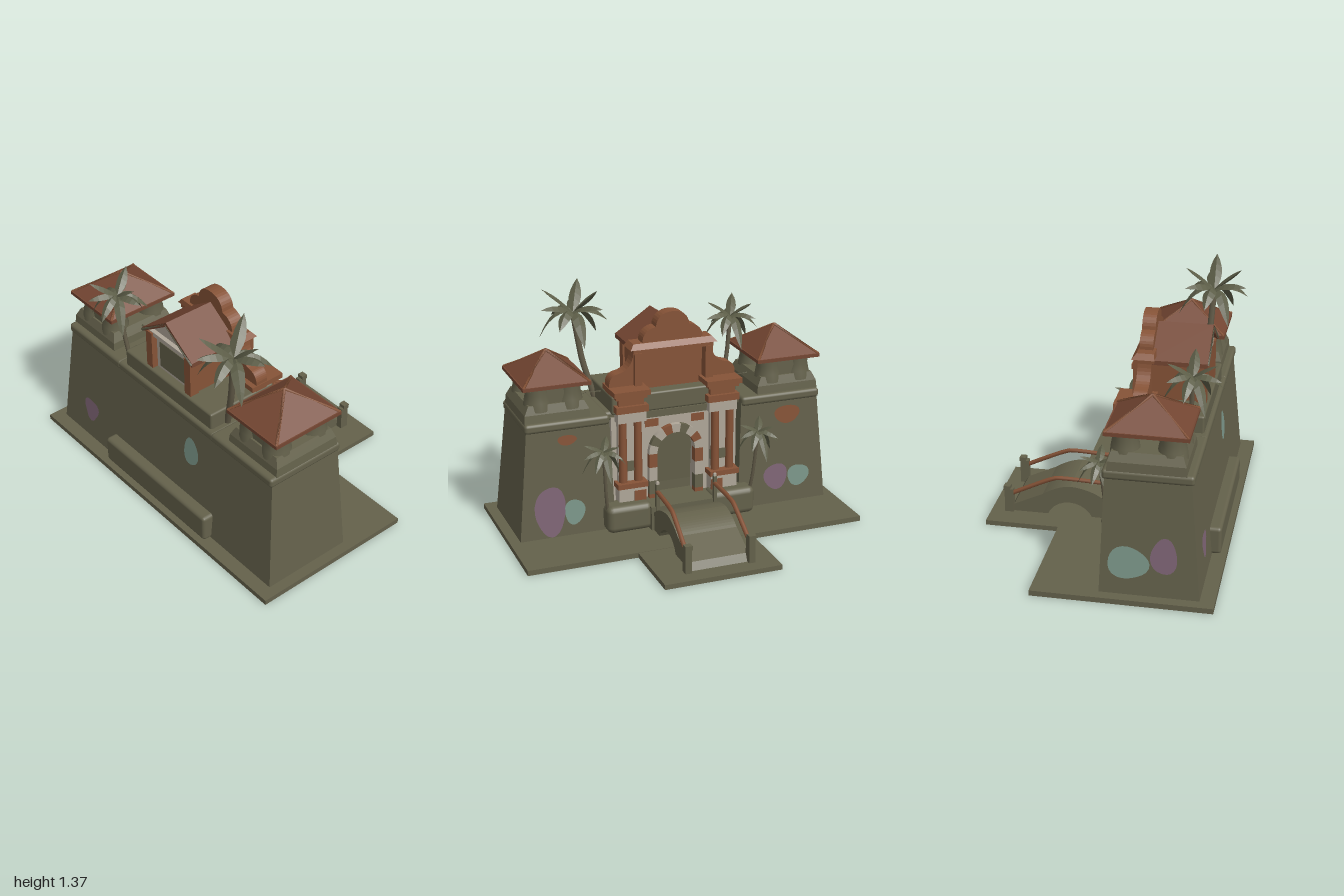
import * as THREE from 'three';
import { RoundedBoxGeometry } from 'three/addons/geometries/RoundedBoxGeometry.js';

const mat = (name, color, side = THREE.FrontSide) => {
  const m = new THREE.MeshStandardMaterial({ color, side });
  m.name = name;
  return m;
};

export function createModel() {
  const root = new THREE.Group();
  root.name = 'gatehouse';
  const stone = mat('olive stone', 0x64614b);
  const clay = mat('terracotta', 0x865337, THREE.DoubleSide);
  const tile = mat('roof tile', 0x744632);
  const plaster = mat('pale plaster', 0xb0a799);
  const violet = mat('violet paint', 0x7f6576, THREE.DoubleSide);
  const teal = mat('teal paint', 0x7c978a, THREE.DoubleSide);
  const leafMat = mat('palm leaf', 0x5d5e48, THREE.DoubleSide);
  const trunkMat = mat('palm trunk', 0x625b48);

  const add = (name, geo, m) => {
    const mesh = new THREE.Mesh(geo, m);
    mesh.name = name;
    root.add(mesh);
    return mesh;
  };
  const box = (name, m, x0, x1, y0, y1, z0, z1, r = 0) => {
    const s = [x1 - x0, y1 - y0, z1 - z0];
    const g = r ? new RoundedBoxGeometry(...s, 2, r) : new THREE.BoxGeometry(...s);
    g.translate((x0 + x1) / 2, (y0 + y1) / 2, (z0 + z1) / 2);
    return add(name, g, m);
  };
  // Box whose bottom and top are different rectangles [x0, x1, z0, z1]
  const frustum = (name, m, y0, y1, bottom, top) => {
    const g = new THREE.BoxGeometry(1, 1, 1), p = g.attributes.position;
    for (let i = 0; i < p.count; i++) {
      const up = p.getY(i) > 0, q = up ? top : bottom;
      p.setXYZ(i, p.getX(i) > 0 ? q[1] : q[0], up ? y1 : y0, p.getZ(i) > 0 ? q[3] : q[2]);
    }
    g.computeVertexNormals();
    return add(name, g, m);
  };
  const tube = (name, m, pts, r, segs = 10, sides = 6) => add(name, new THREE.TubeGeometry(
    new THREE.CatmullRomCurve3(pts.map(p => new THREE.Vector3(...p)), false, 'catmullrom', 0.2), segs, r, sides), m);
  const both = fn => [-1, 1].forEach(fn);
  const span = (s, a, b) => (s > 0 ? [a, b] : [-b, -a]);

  // Ground slabs, hollowed underneath, with rims and footings below
  const frame = (name, x0, x1, z0, z1, y0, w) => {
    for (const [a, b] of [[x0, x0 + w], [x1 - w, x1]]) box(name, stone, a, b, y0, 0.018, z0, z1);
    for (const [a, b] of [[z0, z0 + w], [z1 - w, z1]]) box(name, stone, x0 + w, x1 - w, y0, 0.018, a, b);
  };
  box('ground', stone, -1, 1, 0.015, 0.03, -0.29, 0.68);
  frame('groundRim', -1, 1, -0.29, 0.68, 0, 0.006);
  box('bridgeGround', stone, -0.31, 0.37, 0.013, 0.028, -0.71, -0.28);
  frame('bridgeGroundRim', -0.31, 0.37, -0.71, -0.29, 0, 0.006);
  both(s => frame('towerFooting', ...span(s, 0.42, 0.94), 0.05, 0.61, 0.008, 0.012));

  // Battered walls and rounded ledges
  both(s => {
    frustum('towerWall', stone, 0.03, 0.68, [...span(s, 0.38, 0.94), 0.07, 0.6], [...span(s, 0.4, 0.88), 0.09, 0.54]);
    box('towerLedge', stone, ...span(s, 0.4, 0.89), 0.66, 0.715, 0.075, 0.555, 0.018);
  });
  frustum('frontWall', stone, 0.03, 0.68, [-0.38, 0.38, 0.2, 0.6], [-0.4, 0.4, 0.15, 0.54]);
  box('frontLedge', stone, -0.42, 0.42, 0.66, 0.714, 0.13, 0.554, 0.018);
  box('frontPlanter', stone, -0.45, 0.45, 0.03, 0.19, 0.56, 0.65, 0.02);
  both(s => box('backPlanter', stone, ...span(s, 0.18, 0.45), 0.03, 0.19, -0.02, 0.12, 0.035));
  box('landing', stone, -0.2, 0.2, 0.03, 0.17, -0.04, 0.2);
  box('housePlinth', stone, -0.37, 0.38, 0.7, 0.81, 0.1, 0.53, 0.012);

  // Watch rooms with open sides and hipped roofs
  both(s => {
    const cx = s * 0.695, cz = 0.305;
    frustum('watchBase', stone, 0.71, 0.76, [cx - 0.19, cx + 0.19, 0.1, 0.515], [cx - 0.185, cx + 0.185, 0.105, 0.51]);
    frustum('watchParapet', stone, 0.76, 0.81, [cx - 0.185, cx + 0.185, 0.105, 0.51], [cx - 0.16, cx + 0.16, 0.12, 0.49]);
    for (const dx of [-0.09, 0.09]) for (const dz of [-0.122, 0.122]) {
      const profile = [[0.082, 0.77], [0.076, 0.82], [0.068, 0.86], [0.072, 0.92]];
      const post = add('watchPost', new THREE.LatheGeometry(profile.map(p => new THREE.Vector2(...p)), 14), stone);
      post.position.set(cx + dx, 0, cz + dz);
    }
    both(d => box('watchWall', stone, cx - 0.1, cx + 0.1, 0.78, 0.92, cz + d * 0.145 - 0.03, cz + d * 0.145 + 0.03));
    box('watchLintel', stone, cx - 0.155, cx + 0.155, 0.89, 0.92, 0.125, 0.485);
    box('roofEave', tile, cx - 0.195, cx + 0.195, 0.905, 0.925, 0.085, 0.525);
    const cone = new THREE.ConeGeometry(Math.SQRT1_2, 0.145, 4, 1).toNonIndexed();
    cone.rotateY(Math.PI / 4).scale(0.39, 1, 0.44).computeVertexNormals();
    add('hippedRoof', cone, tile).position.set(cx, 0.9925, cz);
    both(a => both(b => tube('roofHip', clay, [[cx + a * 0.19, 0.923, cz + b * 0.215], [cx, 1.065, cz]], 0.009, 1, 5)));
    tube('parapetRail', stone, [[s * 0.36, 0.785, 0.3], [s * 0.54, 0.785, 0.3]], 0.006, 1);
  });

  // Arched portal
  const portal = new THREE.Shape();
  portal.moveTo(-0.38, 0.03).lineTo(-0.12, 0.03).lineTo(-0.12, 0.44);
  portal.absarc(0, 0.44, 0.12, Math.PI, 0, true);
  portal.lineTo(0.12, 0.03).lineTo(0.38, 0.03).lineTo(0.38, 0.68).lineTo(-0.38, 0.68);
  add('portalWall', new THREE.ExtrudeGeometry(portal, { depth: 0.1, bevelEnabled: false, curveSegments: 16 }), plaster)
    .position.z = 0.12;
  box('door', stone, -0.13, 0.13, 0.03, 0.57, 0.185, 0.205);
  for (let i = 0; i < 9; i++) {
    const a = (i * Math.PI) / 9, b = a + Math.PI / 9, v = new THREE.Shape();
    v.absarc(0, 0.44, 0.165, a, b, false);
    v.absarc(0, 0.44, 0.115, b, a, true);
    add('archStone', new THREE.ExtrudeGeometry(v, { depth: 0.04, bevelEnabled: false, curveSegments: 3 }),
      [plaster, stone, plaster, clay][i % 4]).position.z = 0.09;
  }
  both(s => {
    for (let i = 0; i < 5; i++)
      box('jambStone', [plaster, clay, stone][i % 3], ...span(s, 0.115, 0.165), 0.03 + i * 0.082, 0.112 + i * 0.082, 0.09, 0.14);
    // Pedestal, column and stepped capital
    box('pedestal', plaster, ...span(s, 0.2, 0.36), 0.03, 0.27, 0.05, 0.16);
    box('pedestalCap', clay, ...span(s, 0.19, 0.37), 0.27, 0.3, 0.04, 0.16);
    box('pedestalPatch', clay, ...span(s, 0.2, 0.27), 0.17, 0.25, 0.045, 0.06);
    box('pilaster', plaster, ...span(s, 0.21, 0.35), 0.3, 0.69, 0.09, 0.16);
    box('pilasterPatch', stone, ...span(s, 0.21, 0.35), 0.36, 0.42, 0.085, 0.1);
    for (const x of [0.235, 0.325])
      add('column', new THREE.CylinderGeometry(0.022, 0.025, 0.39, 10), clay).position.set(s * x, 0.495, 0.085);
    box('wallPatch', clay, ...span(s, 0.1, 0.18), 0.6, 0.645, 0.115, 0.125);
    box('capitalLower', plaster, ...span(s, 0.19, 0.36), 0.66, 0.72, 0.06, 0.2);
    box('capitalMiddle', clay, ...span(s, 0.18, 0.37), 0.72, 0.76, 0.05, 0.22);
    box('capitalNeck', clay, ...span(s, 0.2, 0.35), 0.76, 0.81, 0.07, 0.22);
    box('capitalTop', clay, ...span(s, 0.17, 0.385), 0.82, 0.85, 0.04, 0.25);
    box('capitalStep', clay, ...span(s, 0.185, 0.37), 0.8, 0.82, 0.055, 0.24);
  });
  box('portalCornice', stone, -0.2, 0.2, 0.66, 0.7, 0.1, 0.2);

  // Curved gable with a recessed panel, behind the house
  const gable = new THREE.Shape();
  gable.moveTo(0.38, 0.81).lineTo(0.38, 0.87).quadraticCurveTo(0.37, 0.92, 0.33, 0.925);
  gable.quadraticCurveTo(0.245, 0.94, 0.235, 1.03).lineTo(0.235, 1.08).lineTo(0.18, 1.09);
  gable.quadraticCurveTo(0.18, 1.16, 0.1, 1.175).quadraticCurveTo(0.09, 1.255, 0, 1.257);
  gable.quadraticCurveTo(-0.09, 1.255, -0.1, 1.175).quadraticCurveTo(-0.18, 1.16, -0.18, 1.09);
  gable.lineTo(-0.235, 1.08).lineTo(-0.235, 1.03).quadraticCurveTo(-0.245, 0.94, -0.33, 0.925);
  gable.quadraticCurveTo(-0.37, 0.92, -0.38, 0.87).lineTo(-0.38, 0.81);
  gable.lineTo(-0.195, 0.81).lineTo(-0.195, 1.035).lineTo(0.195, 1.035).lineTo(0.195, 0.81);
  add('curvedGable', new THREE.ExtrudeGeometry(gable, { depth: 0.075, bevelEnabled: false, curveSegments: 8 }), clay)
    .position.z = 0.145;
  box('gablePanel', clay, -0.2, 0.2, 0.8, 1.04, 0.18, 0.215);
  box('gableCornice', clay, -0.24, 0.24, 1.035, 1.06, 0.125, 0.235);
  frustum('gableCorniceTop', clay, 1.06, 1.09, [-0.26, 0.26, 0.115, 0.24], [-0.235, 0.235, 0.14, 0.235]);
  both(s => box('gablePost', clay, ...span(s, 0.19, 0.235), 0.81, 1.04, 0.12, 0.22));

  // Small house with pitched roof
  const house = new THREE.Shape();
  house.moveTo(-0.17, 0.8).lineTo(0.17, 0.8).lineTo(0.17, 1.04).lineTo(0, 1.165).lineTo(-0.17, 1.04);
  add('houseWalls', new THREE.ExtrudeGeometry(house, { depth: 0.27, bevelEnabled: false }), plaster).position.z = 0.21;
  box('houseWindow', stone, -0.11, 0.11, 0.83, 0.99, 0.47, 0.485);
  box('houseBeam', plaster, -0.18, 0.18, 1.02, 1.045, 0.46, 0.505);
  both(s => {
    box('housePillar', clay, ...span(s, 0.14, 0.19), 0.8, 1.04, 0.46, 0.515);
    box('houseSide', clay, ...span(s, 0.165, 0.178), 0.8, 1.04, 0.2, 0.47);
    const slope = new THREE.Shape();
    slope.moveTo(0, 1.19).lineTo(s * 0.215, 1.045).lineTo(s * 0.215, 1.02).lineTo(0, 1.165);
    add('roofSlope', new THREE.ExtrudeGeometry(slope, { depth: 0.32, bevelEnabled: false }), tile).position.z = 0.2;
    tube('gableTrim', stone, [[0, 1.178, 0.52], [s * 0.213, 1.034, 0.52]], 0.009, 1, 5);
  });

  // Humped bridge
  const deck = new THREE.Shape();
  deck.moveTo(0.03, 0.03).lineTo(0.03, 0.13).quadraticCurveTo(0.12, 0.205, 0.25, 0.212);
  deck.quadraticCurveTo(0.33, 0.205, 0.41, 0.15).lineTo(0.58, 0.07).lineTo(0.61, 0.02).lineTo(0.385, 0.02);
  deck.bezierCurveTo(0.34, 0.14, 0.17, 0.14, 0.12, 0.02);
  add('bridgeDeck', new THREE.ExtrudeGeometry(deck, { depth: 0.35, bevelEnabled: false, curveSegments: 10 })
    .rotateY(Math.PI / 2), stone).position.x = -0.165;
  both(s => {
    const a = s > 0 ? 0.165 : -0.185, b = s > 0 ? 0.205 : -0.165;
    tube('bridgeRail', clay, [[a, 0.265, -0.04], [(a + b) / 2, 0.265, -0.33], [b, 0.14, -0.59]], 0.013, 16);
    box('nearPost', stone, a - 0.01, a + 0.01, 0.1, 0.31, -0.052, -0.03);
    box('nearPostCap', plaster, a - 0.008, a + 0.008, 0.3, 0.325, -0.05, -0.032);
    box('farPost', stone, b - 0.018, b + 0.018, 0.02, 0.17, -0.63, -0.58);
    box('farPostCap', stone, b - 0.021, b + 0.021, 0.165, 0.19, -0.634, -0.597);
  });

  // Painted blobs that follow the sloping walls
  const rise = y => (y - 0.03) / 0.65;
  const faces = {
    back: (u, y) => [u, y, 0.066 + 0.02 * rise(y)],
    front: (u, y) => [u, y, 0.604 - 0.06 * rise(y)],
    side: (u, y) => [-0.944 + 0.06 * rise(y), y, u],
  };
  const blob = (face, m, u, y, ru, ry, wobble = 0.06) => {
    const g = new THREE.CircleGeometry(1, 24), p = g.attributes.position;
    for (let i = 0; i < p.count; i++) {
      const wob = 1 + wobble * Math.sin(3 * Math.atan2(p.getY(i), p.getX(i)) + u * 9);
      p.setXYZ(i, ...faces[face](u + p.getX(i) * ru * wob, y + p.getY(i) * ry * wob));
    }
    g.computeVertexNormals();
    add('paintBlob', g, m);
  };
  blob('front', violet, -0.675, 0.225, 0.065, 0.07, 0.14);
  blob('front', teal, 0.24, 0.485, 0.06, 0.085);
  blob('back', violet, 0.76, 0.19, 0.09, 0.15);
  blob('back', teal, 0.62, 0.17, 0.06, 0.075);
  blob('back', clay, 0.65, 0.6, 0.055, 0.03);
  blob('back', violet, -0.62, 0.2, 0.075, 0.08);
  blob('back', teal, -0.765, 0.19, 0.07, 0.065);
  blob('back', clay, -0.69, 0.58, 0.08, 0.055);
  blob('side', teal, 0.22, 0.21, 0.11, 0.09);
  blob('side', violet, 0.41, 0.26, 0.07, 0.1);

  // Folded palm frond running along +x
  const frond = (len, width, lift, droop) => {
    const pos = [], idx = [], n = 6;
    for (let i = 0; i <= n; i++) {
      const t = i / n, w = width * Math.pow(Math.max(0, Math.sin(Math.PI * t)), 0.8) + 0.003 * (1 - t);
      const y = len * (lift * t - droop * t * t);
      pos.push(len * t, y - w * 0.7, -w, len * t, y, 0, len * t, y - w * 0.7, w);
      if (i < n) for (const k of [0, 1]) {
        const a = i * 3 + k;
        idx.push(a, a + 1, a + 3, a + 1, a + 4, a + 3);
      }
    }
    const g = new THREE.BufferGeometry();
    g.setAttribute('position', new THREE.Float32BufferAttribute(pos, 3));
    g.setIndex(idx);
    const flat = g.toNonIndexed();
    flat.computeVertexNormals();
    return flat;
  };
  const palm = (base, crown, size, r, lift) => {
    const mid = [base[0] * 0.4 + crown[0] * 0.6, base[1] * 0.55 + crown[1] * 0.45, base[2] * 0.4 + crown[2] * 0.6];
    tube('palmTrunk', trunkMat, [base, mid, crown], r, 8, 7);
    for (let i = 0; i < 12; i++) {
      const upper = i > 8;
      const g = frond(size * (upper ? 0.9 : 1), size * 0.17, upper ? lift + 0.4 : lift, upper ? 0.35 : 0.6 + 0.5 * (i % 3));
      g.rotateY(upper ? i * 2.1 : (i * Math.PI * 2) / 9 + 0.2);
      add('palmFrond', g, leafMat).position.set(...crown);
    }
  };
  palm([0.38, 0.71, 0.42], [0.485, 1.215, 0.46], 0.2, 0.018, 0.8);
  palm([-0.44, 0.71, 0.46], [-0.49, 1.09, 0.48], 0.165, 0.013, 0.6);
  palm([0.42, 0.03, 0.06], [0.47, 0.54, -0.01], 0.125, 0.01, 0.4);
  palm([-0.42, 0.03, 0.06], [-0.46, 0.54, -0.02], 0.125, 0.01, 0.4);

  return root;
}
